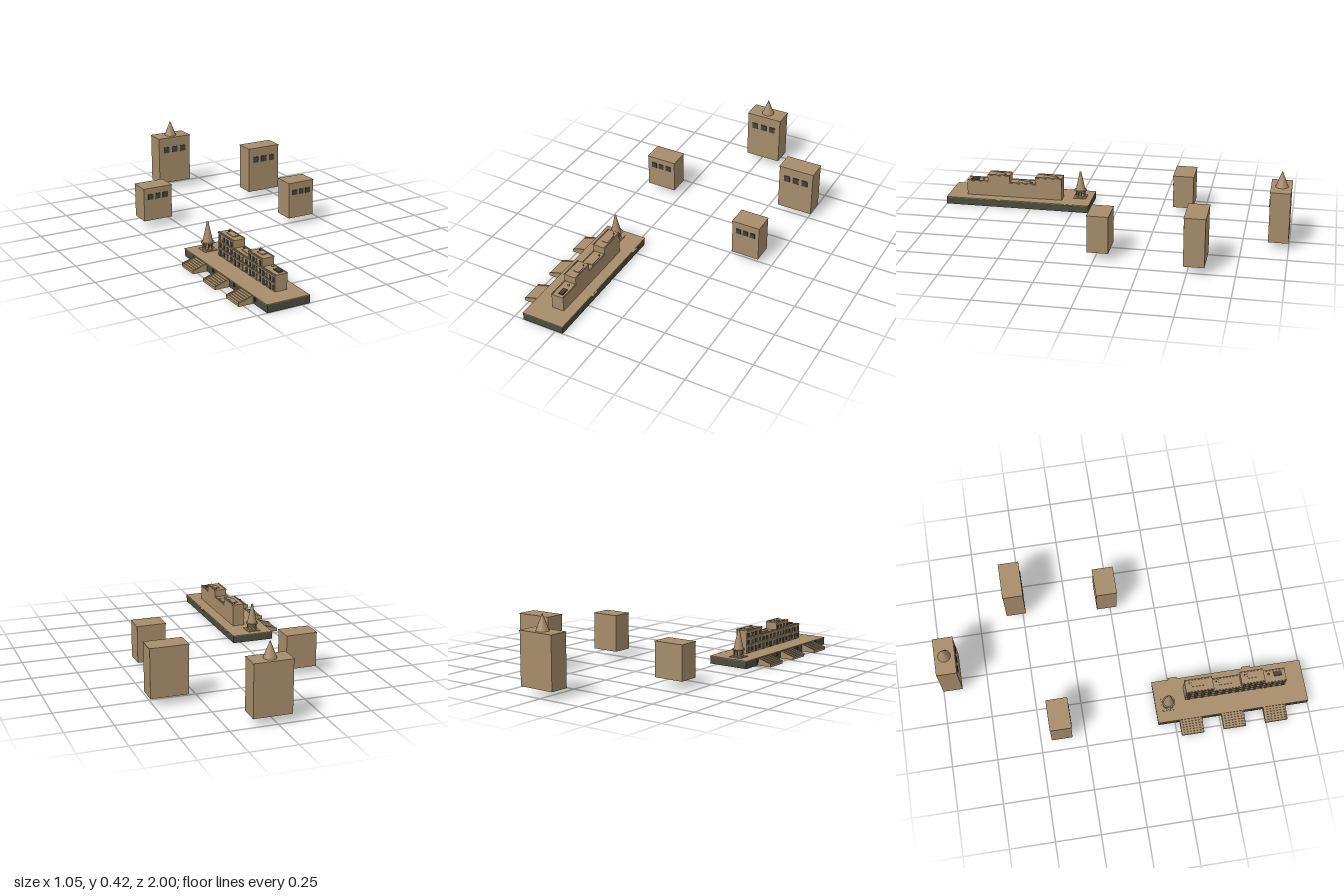
import * as THREE from 'three';

const stone = new THREE.MeshStandardMaterial({ color: 0xa68c6a });
stone.name = 'tan stone';
const dark = new THREE.MeshStandardMaterial({ color: 0x40423a });
dark.name = 'dark glass';
const base = new THREE.MeshStandardMaterial({ color: 0x4a4c40 });
base.name = 'dark quay wall';

function add(parent, name, geometry, material, x = 0, y = 0, z = 0) {
  const mesh = new THREE.Mesh(geometry, material);
  mesh.name = name;
  mesh.position.set(x, y, z);
  parent.add(mesh);
  return mesh;
}

// Box given by its limits on each axis
function block(parent, name, material, x0, x1, y0, y1, z0, z1) {
  return add(parent, name, new THREE.BoxGeometry(x1 - x0, y1 - y0, z1 - z0), material,
    (x0 + x1) / 2, (y0 + y1) / 2, (z0 + z1) / 2);
}

function group(parent, name) {
  const g = new THREE.Group();
  g.name = name;
  parent.add(g);
  return g;
}

// Free-standing block with a thin roof slab and three front windows
function tower(parent, x0, x1, z0, z1, top, winY, winSize) {
  const g = group(parent, 'tower');
  block(g, 'towerWalls', stone, x0, x1, 0.044, top - 0.005, z0, z1);
  block(g, 'towerRoof', stone, x0 - 0.002, x1 + 0.002, top - 0.005, top, z0 - 0.002, z1 + 0.002);
  const mid = (x0 + x1) / 2, gap = (x1 - x0) * 0.265;
  for (const i of [-1, 0, 1]) {
    const x = mid + i * gap;
    block(g, 'towerWindow', dark, x - winSize / 2, x + winSize / 2,
      winY - winSize / 2, winY + winSize / 2, z1, z1 + 0.004);
  }
  return g;
}

// Flight of steps descending towards -x, with sloping side walls
function stairs(parent, z0, z1) {
  const g = group(parent, 'stairs');
  const xLow = -0.525, xHigh = -0.445, n = 6, cheek = 0.006;
  const steps = new THREE.Shape().moveTo(xHigh, 0).lineTo(xLow, 0);
  for (let i = 0; i < n; i++) {
    const y = 0.013 + (i / n) * 0.027;
    steps.lineTo(xLow + (i / n) * (xHigh - xLow), y);
    steps.lineTo(xLow + ((i + 1) / n) * (xHigh - xLow), y);
  }
  const slope = new THREE.Shape().moveTo(xHigh, 0).lineTo(xLow, 0).lineTo(xLow, 0.018).lineTo(xHigh, 0.042);
  const extrude = (shape, depth) => new THREE.ExtrudeGeometry(shape, { depth, bevelEnabled: false });
  add(g, 'steps', extrude(steps, z1 - z0 - 2 * cheek), stone, 0, 0, z0 + cheek);
  for (const z of [z0, z1 - cheek]) add(g, 'stairSide', extrude(slope, cheek), stone, 0, 0, z);
}

// One house of the row; its windowed facade faces -x
function house(parent, z0, z1, top, floors) {
  const g = group(parent, 'house');
  const x0 = -0.335, x1 = -0.266, floorY = 0.044;
  block(g, 'houseWalls', stone, x0, x1, floorY, top - 0.005, z0, z1);
  block(g, 'houseCornice', stone, x0 - 0.004, x1 + 0.003, top - 0.008, top - 0.004, z0, z1);
  for (const x of [x0, x1 - 0.004]) block(g, 'parapet', stone, x, x + 0.004, top - 0.005, top, z0, z1);
  const columns = 4, pitch = (z1 - z0) / columns, height = (top - 0.01 - floorY) / floors;
  for (let f = 0; f < floors; f++) {
    const y = floorY + f * height;
    if (f) block(g, 'stringCourse', stone, x0 - 0.003, x0, y - 0.0015, y + 0.0015, z0, z1);
    for (let c = 0; c < columns; c++) {
      const z = z0 + (c + 0.5) * pitch, door = f === 0 && c % 2 === 0;
      block(g, door ? 'door' : 'houseWindow', dark, x0 - 0.002, x0,
        y + (door ? 0 : height * 0.25), y + height * 0.8, z - pitch * 0.27, z + pitch * 0.27);
      if (!door) block(g, 'windowSill', stone, x0 - 0.004, x0,
        y + height * 0.18, y + height * 0.25, z - pitch * 0.33, z + pitch * 0.33);
    }
  }
  return g;
}

function kiosk(parent, x, z) {
  const g = group(parent, 'kiosk');
  g.position.set(x, 0, z);
  block(g, 'kioskStep', stone, -0.037, 0.037, 0.044, 0.048, -0.037, 0.037);
  add(g, 'kioskFloor', new THREE.CylinderGeometry(0.031, 0.031, 0.005, 24), stone, 0, 0.0505, 0);
  for (let i = 0; i < 8; i++) {
    const a = (i + 0.5) * Math.PI / 4;
    add(g, 'kioskPost', new THREE.CylinderGeometry(0.0028, 0.0028, 0.033, 8), stone,
      Math.cos(a) * 0.025, 0.0685, Math.sin(a) * 0.025);
  }
  add(g, 'kioskCore', new THREE.CylinderGeometry(0.009, 0.009, 0.033, 16), stone, 0, 0.0685, 0);
  add(g, 'kioskEaves', new THREE.CylinderGeometry(0.036, 0.036, 0.004, 24), stone, 0, 0.086, 0);
  add(g, 'kioskSpire', new THREE.CylinderGeometry(0.005, 0.028, 0.106, 24), stone, 0, 0.141, 0);
  add(g, 'kioskFinial', new THREE.SphereGeometry(0.007, 16, 10), stone, 0, 0.194, 0);
}

export function createModel() {
  const model = new THREE.Group();
  model.name = 'quaysideTown';

  // Quay with its paved top
  block(model, 'quayWall', base, -0.444, -0.206, 0, 0.04, 0.157, 1);
  block(model, 'quayPaving', stone, -0.446, -0.205, 0.04, 0.044, 0.155, 1);
  for (const z of [0.275, 0.695]) block(model, 'quayLedge', stone, -0.206, -0.195, 0.039, 0.043, z - 0.025, z + 0.025);
  for (const z of [0.265, 0.47, 0.685, 0.89]) block(model, 'fender', dark, -0.45, -0.444, 0.02, 0.039, z - 0.005, z + 0.005);
  for (const z of [0.275, 0.51, 0.745]) stairs(model, z, z + 0.125);

  // Row of houses with roof hatches and vents
  const row = [[0.325, 0.48, 0.176, 3], [0.48, 0.635, 0.134, 2], [0.635, 0.765, 0.176, 3], [0.765, 0.89, 0.134, 2]];
  row.forEach(([z0, z1, top, floors], i) => {
    const g = house(model, z0, z1, top, floors);
    const last = i === row.length - 1, r = top - 0.005;
    if (last) {
      block(g, 'roofSkylight', dark, -0.304, -0.279, r, r + 0.008, 0.825, 0.87);
      add(g, 'roofVent', new THREE.SphereGeometry(0.006, 12, 8), stone, -0.291, r + 0.01, 0.795);
    } else {
      block(g, 'roofHatch', stone, -0.308, -0.275, r, r + 0.005, z0 + 0.036, z1 - 0.045);
      add(g, 'roofPipe', new THREE.CylinderGeometry(0.0035, 0.0035, 0.008, 10), dark, -0.284, r + 0.004, z0 + 0.024);
    }
  });
  kiosk(model, -0.346, 0.228);

  // Scattered towers behind the quay
  tower(model, -0.45, -0.279, -0.44, -0.325, 0.234, 0.183, 0.031);
  tower(model, 0.317, 0.52, -0.592, -0.482, 0.312, 0.24, 0.035);
  tower(model, 0.276, 0.434, -0.078, 0.036, 0.251, 0.194, 0.029);
  const spired = tower(model, -0.077, 0.13, -0.998, -0.89, 0.328, 0.252, 0.035);
  add(spired, 'towerSpire', new THREE.ConeGeometry(0.035, 0.09, 24), stone, 0.027, 0.372, -0.945);

  return model;
}
